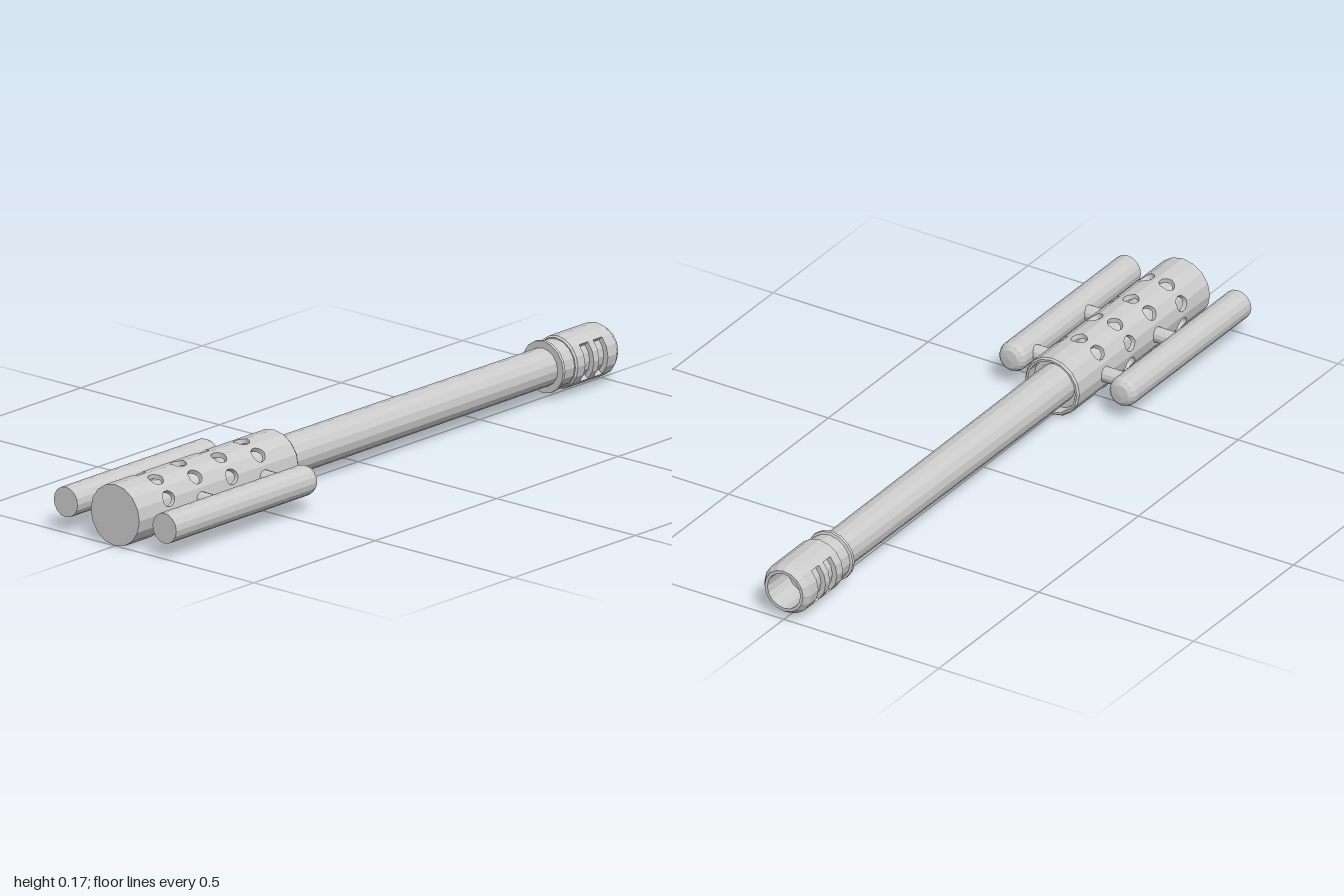
import * as THREE from 'three';

const SIDES = 16;
const AXIS_Y = 0.0875;
const material = new THREE.MeshStandardMaterial({ color: 0xcccccc, flatShading: true, side: THREE.DoubleSide });

function add(parent, name, geometry, x = 0, y = 0, z = 0) {
  const mesh = new THREE.Mesh(geometry, material);
  mesh.name = name;
  mesh.position.set(x, y, z);
  parent.add(mesh);
  return mesh;
}

// Turned part along x, from [x, radius] pairs
function turned(profile, sides = SIDES) {
  const points = profile.map(([x, r]) => new THREE.Vector2(r, x));
  return new THREE.LatheGeometry(points, sides).rotateZ(-Math.PI / 2);
}

// Point on a 16-sided prism around the x axis
function onPrism(x, angle, radius) {
  const step = (2 * Math.PI) / SIDES;
  const within = angle - Math.floor(angle / step) * step - step / 2;
  const r = (radius * Math.cos(step / 2)) / Math.cos(within);
  return [x, r * Math.cos(angle), r * Math.sin(angle)];
}

// Perforated wall: one square cell with a round hole for each vent
function perforatedWall(columns, halfLength, radius, holeRadius, thickness) {
  const positions = [], indices = [];
  const n = 16, halfAngle = Math.PI / 8;
  columns.forEach((cx, col) => {
    for (let k = 0; k < 8; k++) {
      const centre = k * Math.PI / 4 + (col % 2 === 0 ? Math.PI / 8 : 0);
      const base = positions.length / 3;
      for (let row = 0; row < 3; row++) {
        for (let i = 0; i < n; i++) {
          const a = (i / n) * 2 * Math.PI, c = Math.cos(a), s = Math.sin(a);
          const m = Math.max(Math.abs(c), Math.abs(s));
          const u = row === 2 ? (c / m) * halfAngle : (c * holeRadius) / radius;
          const v = row === 2 ? (s / m) * halfLength : s * holeRadius;
          // a hair of inset keeps edge points on their own facet
          positions.push(...onPrism(cx + v, centre + u, row === 0 ? radius - thickness : radius));
        }
      }
      for (let row = 0; row < 2; row++) {
        for (let i = 0; i < n; i++) {
          const a = base + row * n + i, b = base + row * n + (i + 1) % n;
          indices.push(a, a + n, b + n, a, b + n, b);
        }
      }
    }
  });
  const g = new THREE.BufferGeometry();
  g.setAttribute('position', new THREE.Float32BufferAttribute(positions, 3));
  g.setIndex(indices);
  g.computeVertexNormals();
  return g;
}

// Curved bridge between the brake rings: a 90 degree arc extruded along x
function arcBridge(inner, outer, length) {
  const points = [];
  const arc = (r, i) => {
    const a = Math.PI / 4 + (i * Math.PI) / 8;
    return new THREE.Vector2(r * Math.cos(a), r * Math.sin(a));
  };
  for (let i = 0; i <= 4; i++) points.push(arc(outer, i));
  for (let i = 4; i >= 0; i--) points.push(arc(inner, i));
  return new THREE.ExtrudeGeometry(new THREE.Shape(points), { depth: length, bevelEnabled: false }).rotateY(Math.PI / 2);
}

export function createModel() {
  const model = new THREE.Group();
  model.name = 'barrelAssembly';
  const body = new THREE.Group();
  body.name = 'body';
  body.position.y = AXIS_Y;
  model.add(body);

  // Main barrel
  add(body, 'barrel', turned([[-0.99, 0.058], [-0.1, 0.057], [0.55, 0.055], [0.78, 0.054]]));

  // Vented sleeve
  const sleeve = new THREE.Group();
  sleeve.name = 'ventedSleeve';
  body.add(sleeve);
  const columns = [-0.87, -0.74, -0.61, -0.48];
  add(sleeve, 'ventWall', perforatedWall(columns, 0.065, 0.0875, 0.023, 0.014));
  add(sleeve, 'sleeveRear', turned([[-1, 0], [-1, 0.0875], [-0.935, 0.0875]]));
  add(sleeve, 'sleeveLip', turned([
    [-0.415, 0.0875], [-0.346, 0.0875], [-0.34, 0.083], [-0.34, 0.077], [-0.37, 0.075], [-0.37, 0.056],
  ]));

  // Side tubes and the rods that hold them
  for (const side of [1, -1]) {
    const label = side > 0 ? 'front' : 'back';
    add(body, label + 'SideTube', turned([
      [-1, 0], [-1, 0.043], [-0.428, 0.043], [-0.415, 0.038], [-0.407, 0.027], [-0.404, 0],
    ]), 0, 0, side * 0.178);
    for (const x of [columns[1], columns[3]]) {
      add(body, label + 'Rod', new THREE.CylinderGeometry(0.022, 0.022, 0.11, 12).rotateX(Math.PI / 2), x, 0, side * 0.105);
    }
  }

  // Muzzle brake: collar, core, rings and bridges around the side slots
  const brake = new THREE.Group();
  brake.name = 'muzzleBrake';
  body.add(brake);
  const outer = 0.075, core = 0.06;
  add(brake, 'collar', turned([
    [0.76, 0.05], [0.76, 0.074], [0.769, 0.074], [0.772, 0.067], [0.818, 0.067],
  ]));
  add(brake, 'core', turned([[0.81, core], [0.95, core]]));
  add(brake, 'rearRing', turned([[0.815, core], [0.815, 0.07], [0.82, outer], [0.85, outer], [0.85, core]]));
  add(brake, 'middleRing', turned([[0.885, core], [0.885, outer], [0.907, outer], [0.907, core]]));
  add(brake, 'muzzle', turned([
    [0.943, core], [0.943, outer], [0.98, outer], [1, 0.062], [1, 0.053], [0.9, 0.05], [0.9, 0],
  ]));
  for (const [start, end] of [[0.85, 0.885], [0.907, 0.943]]) {
    for (const flip of [0, Math.PI]) {
      add(brake, 'bridge', arcBridge(core - 0.002, outer, end - start), start).rotation.x = flip;
    }
  }
  return model;
}
